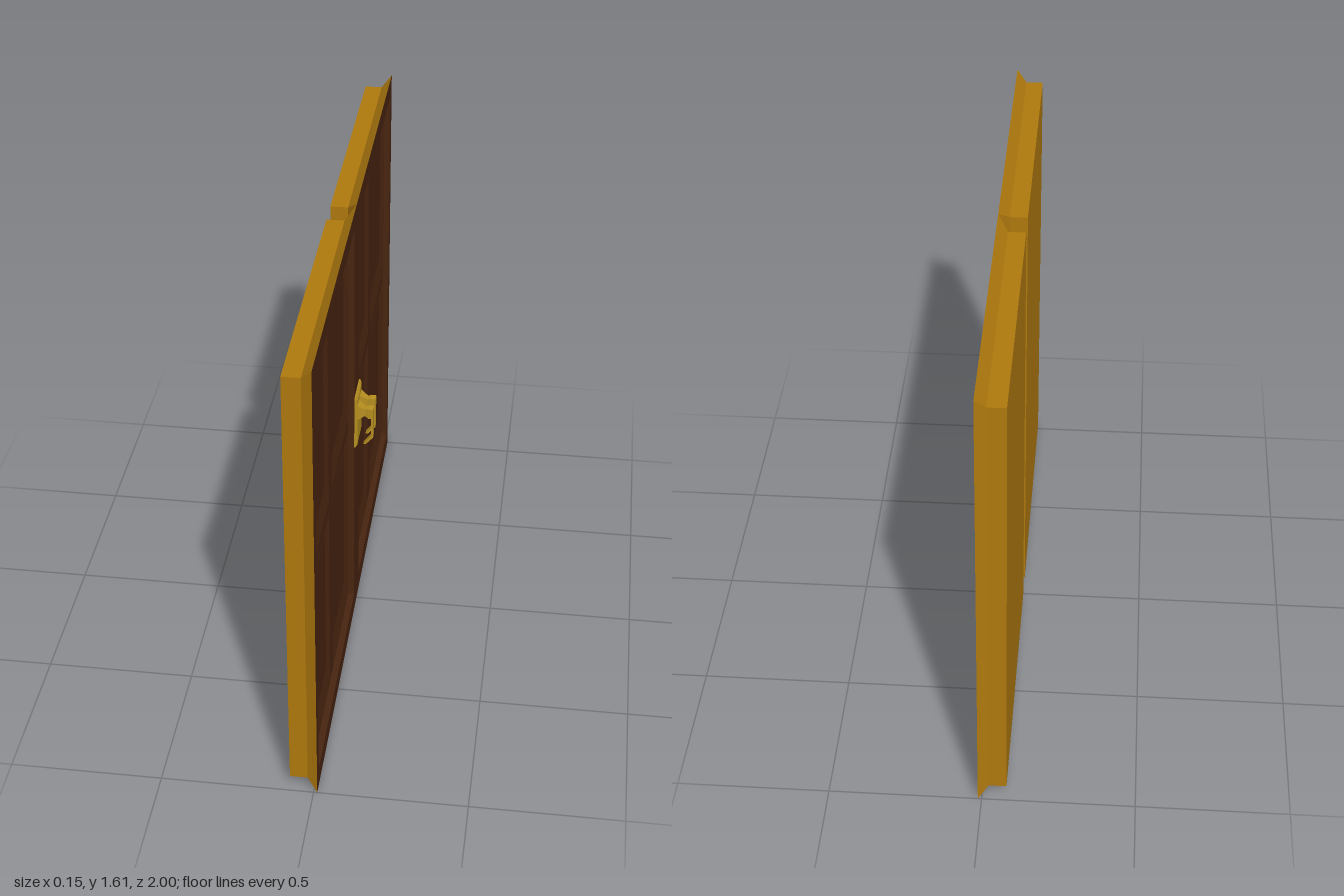
import * as THREE from 'three';

const mat = (name, color, side = THREE.FrontSide) => {
  const m = new THREE.MeshStandardMaterial({ color, side });
  m.name = name;
  return m;
};

// Rectangle facing +x at depth x; side mirrors it across z = 0
const rect = (side, z0, z1, y0, y1, x) => {
  const [a, b] = side > 0 ? [z0, z1] : [-z1, -z0];
  return [[x, y0, a], [x, y1, a], [x, y1, b], [x, y0, b]];
};

// Collects quads into a flat-faced geometry
function quadGeometry(quads) {
  const pos = [];
  for (const [a, b, c, d] of quads) pos.push(...a, ...b, ...c, ...a, ...c, ...d);
  const g = new THREE.BufferGeometry();
  g.setAttribute('position', new THREE.Float32BufferAttribute(pos, 3));
  g.computeVertexNormals();
  return g;
}

// Bands of four sloped faces joining each rectangle to the next
function bands(rects) {
  const quads = [];
  for (let r = 0; r + 1 < rects.length; r++) {
    const A = rects[r], B = rects[r + 1];
    for (let i = 0; i < 4; i++) {
      const j = (i + 1) % 4;
      quads.push([A[i], A[j], B[j], B[i]]);
    }
  }
  return quads;
}

export function createModel() {
  const root = new THREE.Group();
  root.name = 'doubleCabinetDoors';
  const wood = mat('dark brown wood', 0x482410);
  const ochre = mat('ochre wood', 0xb07a0e);
  const brass = mat('brass', 0xb8901f);

  const add = (parent, name, geometry, material) => {
    const mesh = new THREE.Mesh(geometry, material);
    mesh.name = name;
    parent.add(mesh);
    return mesh;
  };

  for (const s of [1, -1]) {
    const door = new THREE.Group();
    door.name = s > 0 ? 'leftDoor' : 'rightDoor';
    root.add(door);

    // Slab behind, flaring out to the front frame
    const back = rect(s, 0.045, 0.977, 0.04, 1.572, -0.08);
    const slab = rect(s, 0.045, 0.977, 0.04, 1.572, -0.022);
    const front = rect(s, 0, 1, 0, 1.61, 0.012);
    add(door, 'doorSlab', quadGeometry([[...back].reverse(), ...bands([back, slab, front])]), ochre);

    // Front frame and steep recess wall
    const lip = rect(s, 0.064, 0.96, 0.067, 1.545, 0.012);
    const floor = rect(s, 0.076, 0.948, 0.08, 1.525, -0.008);
    add(door, 'frontFrame', quadGeometry(bands([front, lip, floor])), wood);

    // Four sunken panels between the rails and the mullion
    const columns = [
      { cell: [0.076, 0.515], rim: [0.08, 0.482], field: [0.105, 0.457] },
      { cell: [0.515, 0.948], rim: [0.545, 0.945], field: [0.57, 0.92] },
    ];
    const rows = [
      { cell: [0.08, 0.808], rim: [0.085, 0.786], field: [0.15, 0.733] },
      { cell: [0.808, 1.525], rim: [0.83, 1.523], field: [0.895, 1.47] },
    ];
    for (const c of columns) for (const r of rows) {
      const outer = rect(s, ...c.cell, ...r.cell, -0.008);
      const rim = rect(s, ...c.rim, ...r.rim, -0.008);
      const groove = rect(s, ...c.field, ...r.field, -0.021);
      const raised = rect(s, c.field[0] + 0.005, c.field[1] - 0.005,
        r.field[0] + 0.012, r.field[1] - 0.012, -0.018);
      add(door, 'sunkenPanel', quadGeometry([...bands([outer, rim, groove, raised]), raised]), wood);
    }

    // Bevelled plate behind the handle
    const plate = [
      rect(s, 0.001, 0.064, 0.71, 0.906, 0.012),
      rect(s, 0.001, 0.064, 0.71, 0.906, 0.016),
      rect(s, 0.006, 0.058, 0.718, 0.897, 0.022),
    ];
    add(door, 'handlePlate', quadGeometry([...bands(plate), plate[2]]), brass);

    // Tapered post
    const post = [
      rect(s, 0.012, 0.052, 0.815, 0.872, 0.022),
      rect(s, 0.02, 0.044, 0.828, 0.854, 0.046),
      rect(s, 0.018, 0.046, 0.818, 0.857, 0.058),
      rect(s, 0.018, 0.046, 0.82, 0.856, 0.074),
    ];
    add(door, 'handlePost', quadGeometry([...bands(post), post[3]]), brass);

    // Hanging pull with its end bent back to the plate
    const profile = new THREE.Shape([
      [0.074, 0.852], [0.067, 0.852], [0.067, 0.746], [0.04, 0.711], [0.048, 0.711], [0.074, 0.74],
    ].map(([x, y]) => new THREE.Vector2(x, y)));
    const pull = add(door, 'handlePull',
      new THREE.ExtrudeGeometry(profile, { depth: 0.02, bevelEnabled: false }), brass);
    pull.position.z = s * 0.032 - 0.01;
  }
  return root;
}
